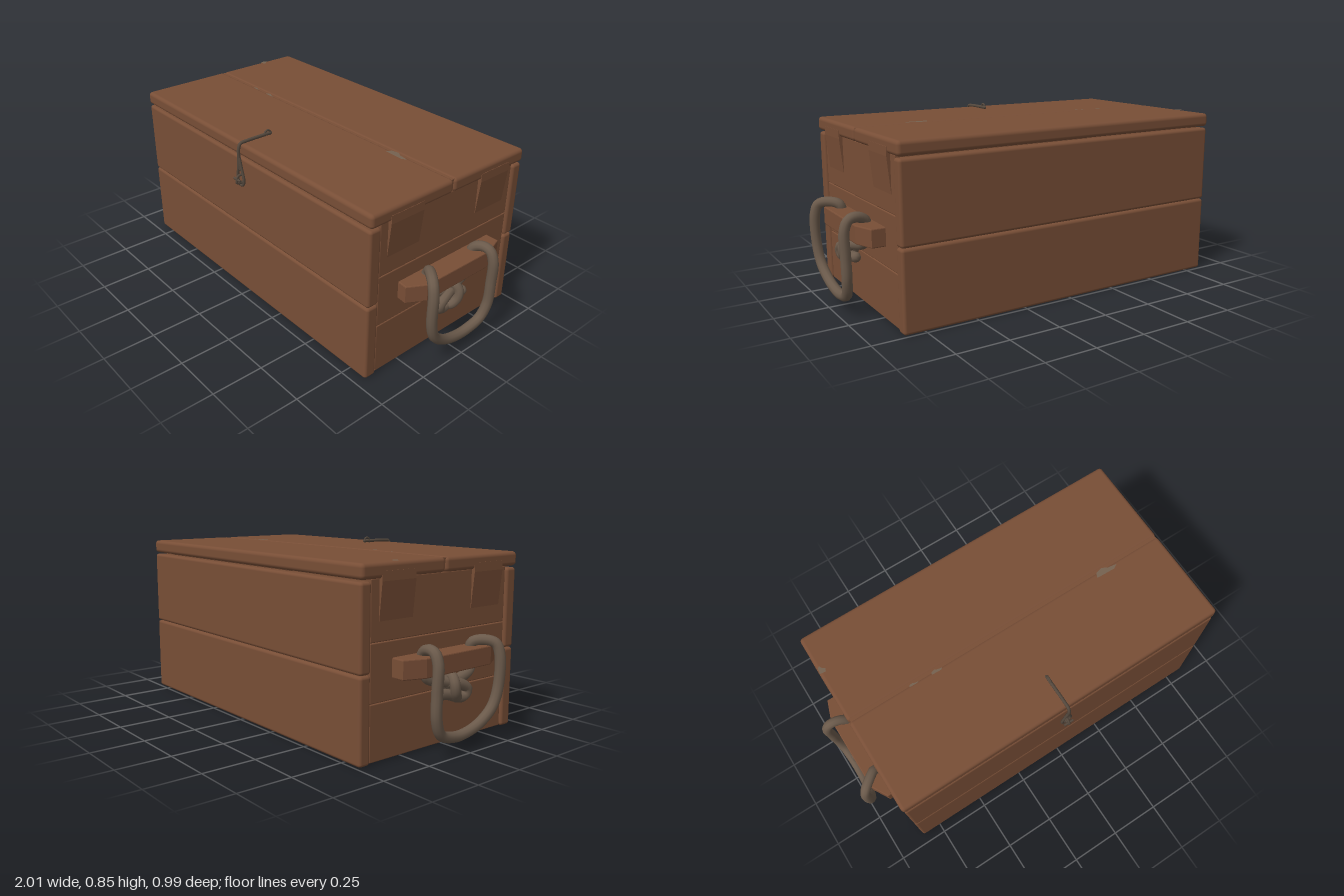
import * as THREE from 'three';
import { RoundedBoxGeometry } from 'three/addons/geometries/RoundedBoxGeometry.js';

const mat = (name, color) => Object.assign(new THREE.MeshStandardMaterial({ color }), { name });

export function createModel() {
  const root = new THREE.Group();
  root.name = 'woodenChest';
  const wood = mat('brown wood', 0x784e36);
  const rope = mat('grey brown rope', 0x6b5a4b);
  const cord = mat('dark cord', 0x54483d);
  const worn = mat('worn wood', 0x75614f);
  worn.side = THREE.DoubleSide;

  const add = (name, geo, material, parent = root) => {
    const mesh = new THREE.Mesh(geo, material);
    mesh.name = name;
    parent.add(mesh);
    return mesh;
  };
  // Rounded plank given by its limits
  const plank = (name, x0, x1, y0, y1, z0, z1, r = 0.014) => {
    const geo = new RoundedBoxGeometry(x1 - x0, y1 - y0, z1 - z0, 3, r);
    geo.translate((x0 + x1) / 2, (y0 + y1) / 2, (z0 + z1) / 2);
    return add(name, geo, wood);
  };
  // Tube through points, with rounded ends when open
  const tube = (name, pts, r, material, parent, closed = false, segs = 90, sides = 10) => {
    const v = pts.map(p => new THREE.Vector3(...p));
    const curve = new THREE.CatmullRomCurve3(v, closed, 'centripetal');
    add(name, new THREE.TubeGeometry(curve, segs, r, sides, closed), material, parent);
    if (!closed) for (const p of [v[0], v[v.length - 1]])
      add(name + 'End', new THREE.SphereGeometry(r, sides, 6), material, parent).position.copy(p);
  };

  // Front and back walls, two planks each
  for (const [side, z0, z1] of [['front', 0.392, 0.455], ['back', -0.49, -0.432]]) {
    plank(side + 'LowerPlank', -0.85, 0.85, 0, 0.372, z0, z1);
    plank(side + 'UpperPlank', -0.85, 0.85, 0.374, 0.742, z0, z1);
  }
  // Floor
  plank('floor', -0.8, 0.8, 0.008, 0.06, -0.432, 0.392, 0.004);
  // Lid planks
  plank('lidBackPlank', -0.855, 0.855, 0.75, 0.815, -0.49, -0.021, 0.018);
  plank('lidFrontPlank', -0.855, 0.855, 0.75, 0.815, -0.019, 0.455, 0.018);
  add('lidCore', new THREE.BoxGeometry(1.69, 0.045, 0.2).translate(0, 0.789, -0.02), wood);

  for (const s of [1, -1]) {
    const label = s > 0 ? 'left' : 'right';
    const lim = (a, b) => (s > 0 ? [a, b] : [-b, -a]);
    // End wall planks
    [[0.004, 0.248], [0.249, 0.496], [0.497, 0.752]].forEach(([y0, y1], i) =>
      plank(label + 'EndPlank' + (i + 1), ...lim(0.77, 0.84), y0, y1, -0.43, 0.39, 0.005));

    // Tapered lid cleats
    for (const [z0, z1] of [[0.16, 0.348], [-0.385, -0.198]]) {
      const profile = new THREE.Shape([[0.8, 0.58], [0.841, 0.58], [0.857, 0.74], [0.857, 0.78], [0.8, 0.78]]
        .map(([x, y]) => new THREE.Vector2(s * x, y)));
      const geo = new THREE.ExtrudeGeometry(profile, { depth: z1 - z0, bevelEnabled: false });
      add(label + 'LidCleat', geo.translate(0, 0, z0), wood);
    }

    const handle = new THREE.Group();
    handle.name = label + 'Handle';
    root.add(handle);
    // Handle bar with cut corners
    const plan = new THREE.Shape([[0.83, 0.265], [0.885, 0.27], [0.93, 0.19], [0.933, -0.21], [0.9, -0.305], [0.83, -0.305]]
      .map(([x, z]) => new THREE.Vector2(s * x, -z)));
    const bar = new THREE.ExtrudeGeometry(plan, { depth: 0.075, bevelThickness: 0.005, bevelSize: 0.005, bevelSegments: 2 });
    add('handleBar', bar.rotateX(-Math.PI / 2).translate(0, 0.345, 0), wood, handle);

    // Rope hanging over the bar
    const flip = pts => pts.map(([x, y, z]) => [s * x, y, z]);
    tube('ropeLoop', flip([
      [0.895, 0.285, -0.03], [0.88, 0.29, 0.05], [0.87, 0.32, 0.13], [0.865, 0.38, 0.135], [0.88, 0.44, 0.13],
      [0.92, 0.453, 0.16], [0.96, 0.44, 0.19], [0.977, 0.39, 0.2], [0.976, 0.24, 0.195], [0.97, 0.16, 0.165],
      [0.963, 0.1, 0.09], [0.96, 0.073, 0], [0.961, 0.073, -0.07], [0.966, 0.1, -0.15], [0.974, 0.17, -0.185],
      [0.977, 0.28, -0.19], [0.977, 0.4, -0.187], [0.955, 0.445, -0.185], [0.915, 0.452, -0.18],
      [0.875, 0.43, -0.17], [0.865, 0.37, -0.16], [0.87, 0.32, -0.14], [0.885, 0.295, -0.06], [0.905, 0.28, 0.02],
      [0.91, 0.25, 0.07], [0.905, 0.222, 0.065], [0.9, 0.215, 0.03], [0.895, 0.235, -0.03], [0.895, 0.245, -0.09],
    ]), 0.024, rope, handle, false, 150);
    // Knot wrap
    tube('ropeKnot', flip([
      [0.905, 0.315, -0.02], [0.928, 0.29, -0.028], [0.928, 0.25, -0.02], [0.908, 0.22, 0.005],
      [0.875, 0.235, 0.01], [0.868, 0.28, -0.01],
    ]), 0.023, rope, handle, true, 40);
  }

  // Cord latch running over the lid edge
  const latch = new THREE.Group();
  latch.name = 'latch';
  root.add(latch);
  tube('latchCord', [[0, 0.824, 0.29], [0, 0.824, 0.34], [0, 0.823, 0.43], [0, 0.819, 0.462], [0, 0.795, 0.473],
    [0, 0.74, 0.472], [0, 0.69, 0.468]], 0.008, cord, latch, false, 40, 7);
  tube('latchLoop', [[0, 0.755, 0.473], [0.012, 0.7, 0.47], [0.024, 0.64, 0.468], [0.015, 0.614, 0.468],
    [-0.015, 0.614, 0.468], [-0.024, 0.64, 0.468], [-0.012, 0.7, 0.47]], 0.007, cord, latch, true, 50, 7);
  // Staples on the lid and on the front wall
  tube('lidStaple', [[0, 0.812, 0.325], [0, 0.832, 0.322], [0, 0.841, 0.31], [0, 0.836, 0.295], [0, 0.812, 0.293]],
    0.005, cord, latch, false, 24, 6);
  tube('frontPeg', [[0, 0.662, 0.452], [0, 0.66, 0.482], [0, 0.645, 0.492], [0, 0.625, 0.49], [0, 0.622, 0.452]],
    0.006, cord, latch, false, 24, 6);
  add('frontPin', new THREE.CylinderGeometry(0.006, 0.006, 0.05, 7).rotateZ(Math.PI / 2).translate(0, 0.643, 0.488), cord, latch);

  // Thin worn patches along the lid seam and edges: x, z, length, width
  for (const [x, z, l, w] of [[0.54, -0.004, 0.12, 0.036], [-0.4, -0.01, 0.06, 0.018], [-0.52, -0.012, 0.05, 0.012],
    [-0.835, -0.3, 0.035, 0.04]]) {
    const patch = new THREE.Shape([[-0.5, -0.4], [0.3, -0.5], [0.5, -0.1], [0.1, 0.1], [-0.1, 0.5], [-0.4, 0.3]]
      .map(([a, b]) => new THREE.Vector2(a * l, b * w)));
    add('wornPatch', new THREE.ShapeGeometry(patch).rotateX(-Math.PI / 2).translate(x, 0.8165, z), worn);
  }
  return root;
}
